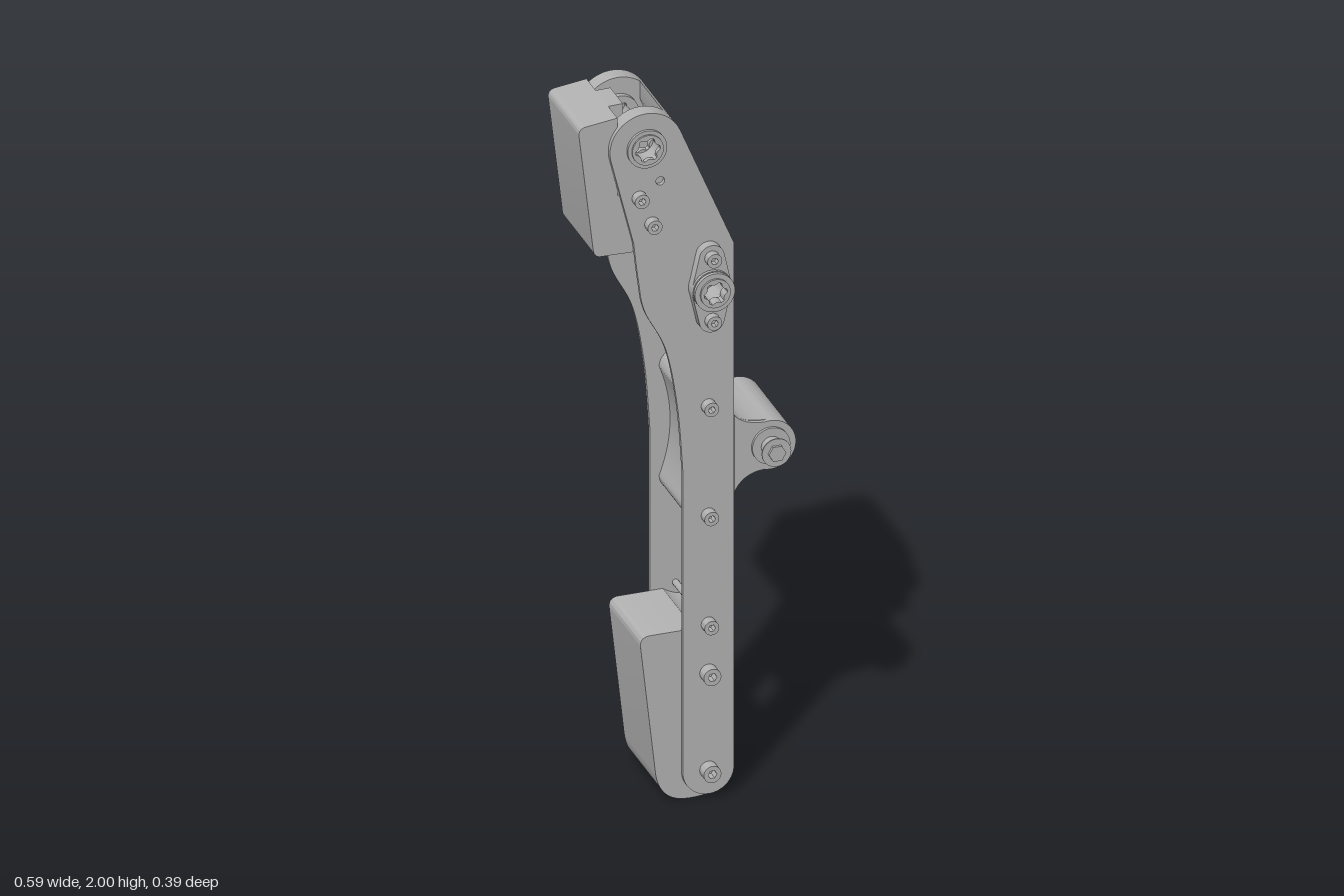
import * as THREE from 'three';
import { toCreasedNormals } from 'three/addons/utils/BufferGeometryUtils.js';

const V = (x, y) => new THREE.Vector2(x, y);
const HEAD = [-0.115, 1.9], JOINT = [0.055, 1.48], KNEE = [0.225, 0.99];

export function createModel() {
  const model = new THREE.Group();
  const grey = new THREE.MeshStandardMaterial({ color: 0xb2b2b2 });
  grey.name = 'satin grey';

  // Extrude a front-view shape between two depths
  const slab = (name, shape, z0, z1, parent = model) => {
    const geo = new THREE.ExtrudeGeometry(shape, { depth: z1 - z0, bevelEnabled: false, curveSegments: 20 });
    geo.translate(0, 0, z0);
    const mesh = new THREE.Mesh(toCreasedNormals(geo, 0.5), grey);
    mesh.name = name;
    parent.add(mesh);
    return mesh;
  };
  // The same slab on the front and the back
  const pair = (name, make, z0, z1) => {
    slab(name + 'Front', make(), z0, z1);
    slab(name + 'Back', make(), -z1, -z0);
  };
  const circle = (x, y, r, Kind = THREE.Path) => new Kind().absarc(x, y, r, 0, Math.PI * 2, false);
  const hexagon = (x, y, r, Kind = THREE.Path) => new Kind().setFromPoints(
    Array.from({ length: 7 }, (_, i) => V(x + r * Math.cos(i * Math.PI / 3), y + r * Math.sin(i * Math.PI / 3))));
  // Six-toothed bore
  const bore = (x, y, r) => new THREE.Path().setFromPoints(Array.from({ length: 25 }, (_, i) => {
    const a = i * Math.PI / 12, k = r * (i % 4 < 2 ? 1 : 0.8);
    return V(x + k * Math.cos(a), y + k * Math.sin(a));
  }));
  const ring = (x, y, r, hole) => {
    const s = circle(x, y, r, THREE.Shape);
    if (hole) s.holes.push(hole);
    return s;
  };

  // Side plates
  const plate = () => {
    const s = new THREE.Shape();
    s.moveTo(0.125, 0.08);
    s.lineTo(0.125, 1.59);
    s.lineTo(-0.023, 1.94);
    s.absarc(...HEAD, 0.1, 0.41, Math.PI + 0.22, false);
    s.lineTo(-0.15, 1.63);
    s.splineThru([V(-0.137, 1.52), V(-0.12, 1.43), V(-0.062, 1.31), V(-0.03, 1.14), V(-0.015, 0.95)]);
    s.lineTo(-0.015, 0.08);
    s.absarc(0.055, 0.08, 0.07, Math.PI, Math.PI * 2, false);
    s.holes.push(circle(...HEAD, 0.035), circle(...JOINT, 0.035), circle(-0.077, 1.8, 0.012));
    return s;
  };
  pair('sidePlate', plate, 0.125, 0.137);

  // Head cheeks beside the slot
  const cheek = () => {
    const s = new THREE.Shape();
    s.moveTo(0.042, 1.785);
    s.lineTo(-0.023, 1.94);
    s.absarc(...HEAD, 0.1, 0.41, Math.PI + 0.22, false);
    s.lineTo(-0.19, 1.785);
    s.holes.push(circle(...HEAD, 0.035));
    return s;
  };
  pair('headCheek', cheek, 0.09, 0.125);

  // Curved cover that closes the head in front of the slot
  const cover = new THREE.Shape();
  cover.moveTo(0.042, 1.785);
  cover.lineTo(-0.023, 1.94);
  cover.absarc(...HEAD, 0.1, 0.41, 0.93, false);
  cover.lineTo(-0.055, 1.93);
  cover.lineTo(0.005, 1.785);
  slab('headCover', cover, -0.09, 0.09);

  // Head bearings, outside the plates and inside the slot
  pair('headBearing', () => ring(...HEAD, 0.054, bore(...HEAD, 0.034)), 0.137, 0.145);
  pair('headBearingRim', () => ring(...HEAD, 0.043, bore(...HEAD, 0.034)), 0.145, 0.15);
  pair('innerBearing', () => ring(...HEAD, 0.053, bore(...HEAD, 0.034)), 0.075, 0.09);

  // Upper pad: outer cushion, centre tongue and inner block
  const upperPad = new THREE.Shape();
  upperPad.moveTo(-0.19, 1.6);
  upperPad.lineTo(-0.235, 1.6);
  upperPad.quadraticCurveTo(-0.253, 1.6, -0.256, 1.62);
  upperPad.lineTo(-0.295, 1.955);
  upperPad.quadraticCurveTo(-0.298, 1.978, -0.275, 1.981);
  upperPad.lineTo(-0.19, 1.993);
  slab('upperPad', upperPad, -0.123, 0.123);
  const tongue = new THREE.Shape([V(-0.19, 1.7), V(-0.15, 1.7), V(-0.15, 1.995), V(-0.19, 1.993)]);
  slab('upperPadTongue', tongue, -0.05, 0.05);
  const block = new THREE.Shape();
  block.moveTo(-0.19, 1.6);
  block.lineTo(-0.08, 1.6);
  block.quadraticCurveTo(0.01, 1.63, 0.03, 1.755);
  block.lineTo(-0.19, 1.77);
  slab('upperPadBlock', block, -0.124, 0.124);

  // Lower pad between the plates
  const lowerPad = new THREE.Shape();
  lowerPad.moveTo(0.125, 0.08);
  lowerPad.lineTo(0.125, 0.43);
  lowerPad.lineTo(0.09, 0.465);
  lowerPad.quadraticCurveTo(0.05, 0.465, 0.02, 0.487);
  lowerPad.lineTo(-0.105, 0.485);
  lowerPad.quadraticCurveTo(-0.13, 0.482, -0.127, 0.455);
  lowerPad.lineTo(-0.086, 0.085);
  lowerPad.quadraticCurveTo(-0.075, 0.002, 0, 0);
  lowerPad.quadraticCurveTo(0.12, -0.002, 0.125, 0.08);
  slab('lowerPad', lowerPad, -0.125, 0.125);

  // Knee bracket: two bolt lobes joined to the pivot barrel
  const bracket = new THREE.Shape();
  bracket.moveTo(0.096, 1.11);
  bracket.absarc(0.055, 1.13, 0.045, -0.3, Math.PI, false);
  bracket.quadraticCurveTo(0.07, 0.975, 0.01, 0.815);
  bracket.absarc(0.055, 0.815, 0.045, Math.PI, Math.PI * 2 + 0.3, false);
  bracket.quadraticCurveTo(0.13, 0.92, 0.215, 0.92);
  bracket.lineTo(0.215, 1.06);
  bracket.quadraticCurveTo(0.15, 1.06, 0.125, 1.09);
  slab('kneeBracket', bracket, -0.125, 0.125);
  const barrel = new THREE.Shape();
  barrel.moveTo(0.127, 0.87);
  barrel.quadraticCurveTo(0.15, 0.92, 0.21, 0.922);
  barrel.absarc(...KNEE, 0.07, -1.78, 1.78, false);
  barrel.quadraticCurveTo(0.15, 1.06, 0.127, 1.09);
  slab('kneeBarrel', barrel, -0.137, 0.137);
  pair('kneeCollar', () => ring(...KNEE, 0.052), 0.137, 0.145);
  pair('kneeShaft', () => ring(...KNEE, 0.028), 0.145, 0.172);
  pair('kneeNeck', () => ring(...KNEE, 0.022), 0.172, 0.183);
  pair('kneeWasher', () => ring(...KNEE, 0.04), 0.183, 0.187);
  pair('kneeNut', () => hexagon(...KNEE, 0.024, THREE.Shape), 0.187, 0.195);

  // Joint flanges: tapered ovals inside and outside each plate
  const flange = () => {
    const [x, y] = JOINT, s = new THREE.Shape();
    s.absarc(x, y + 0.09, 0.035, 0.35, Math.PI - 0.35, false);
    s.absarc(x, y, 0.055, Math.PI - 0.35, Math.PI + 0.35, false);
    s.absarc(x, y - 0.09, 0.035, Math.PI + 0.35, Math.PI * 2 - 0.35, false);
    s.absarc(x, y, 0.055, -0.35, 0.35, false);
    s.holes.push(circle(x, y, 0.035));
    return s;
  };
  pair('jointFlange', flange, 0.137, 0.165);
  pair('jointInnerFlange', flange, 0.095, 0.125);
  const hubs = [[0.055, 0.035, 0.085], [0.042, 0.085, 0.095], [0.055, 0.165, 0.174], [0.048, 0.174, 0.179],
    [0.055, 0.179, 0.19], [0.041, 0.19, 0.196]];
  for (const [r, z0, z1] of hubs) pair('jointHub', () => ring(...JOINT, r, bore(...JOINT, 0.032)), z0, z1);

  // Socket-head bolts: x, y, radius, plate face, front end, back end
  const bolts = [
    [-0.135, 1.76, 0.02, 0.137, 0.163, 0.158], [-0.1, 1.68, 0.02, 0.137, 0.163, 0.158],
    [0.055, 1.13, 0.02, 0.137, 0.165, 0.148], [0.055, 0.815, 0.02, 0.137, 0.165, 0.148],
    [0.055, 0.5, 0.02, 0.137, 0.165, 0.148], [0.055, 0.36, 0.024, 0.137, 0.17, 0.167],
    [0.055, 0.08, 0.024, 0.137, 0.17, 0.167],
    [0.055, 1.57, 0.02, 0.165, 0.188, 0.188], [0.055, 1.39, 0.02, 0.165, 0.188, 0.188],
  ];
  for (const [x, y, r, face, front, back] of bolts) {
    const bolt = new THREE.Group();
    bolt.name = 'bolt';
    slab('boltHead', ring(x, y, r, hexagon(x, y, r * 0.5)), face, front, bolt);
    slab('boltHead', ring(x, y, r, hexagon(x, y, r * 0.5)), -back, -face, bolt);
    slab('boltSocket', circle(x, y, r * 0.6, THREE.Shape), face - 0.005, face + 0.004, bolt);
    slab('boltSocket', circle(x, y, r * 0.6, THREE.Shape), -face - 0.004, -face + 0.005, bolt);
    model.add(bolt);
  }

  // Thin cross rod above the lower pad
  slab('crossRod', circle(0.055, 0.5, 0.009, THREE.Shape), -0.125, 0.125);

  return model;
}
